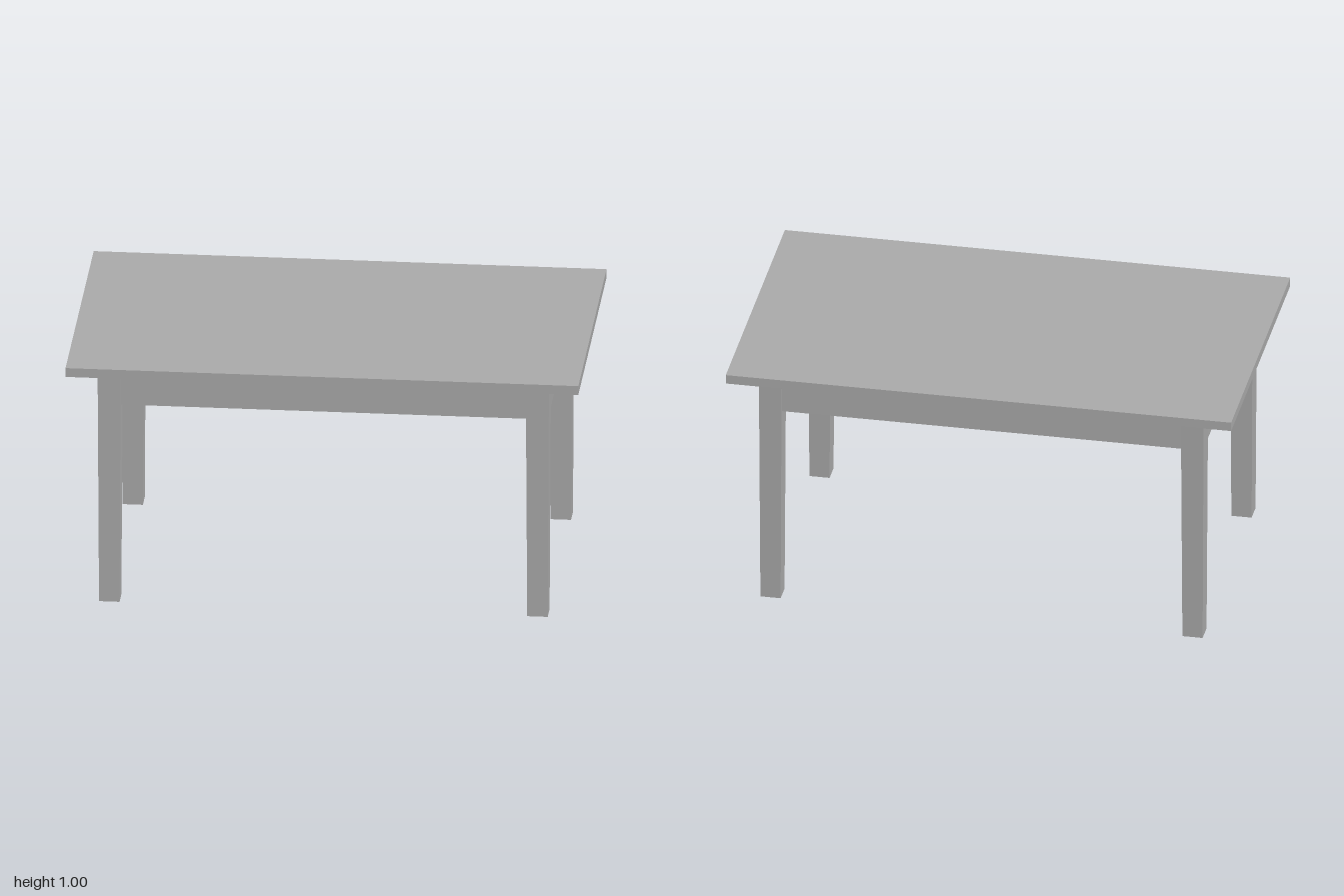
import * as THREE from 'three';

export function createModel() {
  const model = new THREE.Group();
  model.name = 'table';
  const grey = new THREE.MeshStandardMaterial({ color: 0xaaaaaa });
  grey.name = 'grey';

  const TOP = 0.037, UNDER = 1 - TOP;      // tabletop thickness and underside height
  const LEG_X = 0.835, LEG_Z = 0.495;      // leg centres
  const LEG_TOP = 0.09, LEG_FOOT = 0.08;   // leg widths, slightly tapered
  const RAIL_H = 0.133, RAIL_T = 0.035, INSET = 0.004;

  const add = (name, geometry, x, y, z) => {
    const mesh = new THREE.Mesh(geometry, grey);
    mesh.name = name;
    mesh.position.set(x, y, z);
    model.add(mesh);
  };

  // Tabletop
  add('tabletop', new THREE.BoxGeometry(2, TOP, 1.194), 0, 1 - TOP / 2, 0);

  // Legs: square posts narrowing towards the foot
  const leg = new THREE.BoxGeometry(LEG_TOP, UNDER, LEG_TOP);
  const p = leg.attributes.position;
  const k = LEG_FOOT / LEG_TOP;
  for (let i = 0; i < p.count; i++) {
    if (p.getY(i) < 0) p.setXYZ(i, p.getX(i) * k, p.getY(i), p.getZ(i) * k);
  }
  leg.computeVertexNormals();
  for (const [sx, side] of [[1, 'Left'], [-1, 'Right']]) {
    for (const [sz, end] of [[1, 'front'], [-1, 'back']]) {
      add(`${end}${side}Leg`, leg, sx * LEG_X, UNDER / 2, sz * LEG_Z);
    }
  }

  // Apron rails between the legs, near their outer faces
  const railY = UNDER - RAIL_H / 2;
  const edge = LEG_TOP / 2 - INSET - RAIL_T / 2;
  const longRail = new THREE.BoxGeometry(2 * LEG_X - LEG_TOP, RAIL_H, RAIL_T);
  const shortRail = new THREE.BoxGeometry(RAIL_T, RAIL_H, 2 * LEG_Z - LEG_TOP);
  for (const s of [1, -1]) {
    add(s > 0 ? 'frontRail' : 'backRail', longRail, 0, railY, s * (LEG_Z + edge));
    add(s > 0 ? 'leftRail' : 'rightRail', shortRail, s * (LEG_X + edge), railY, 0);
  }
  return model;
}
